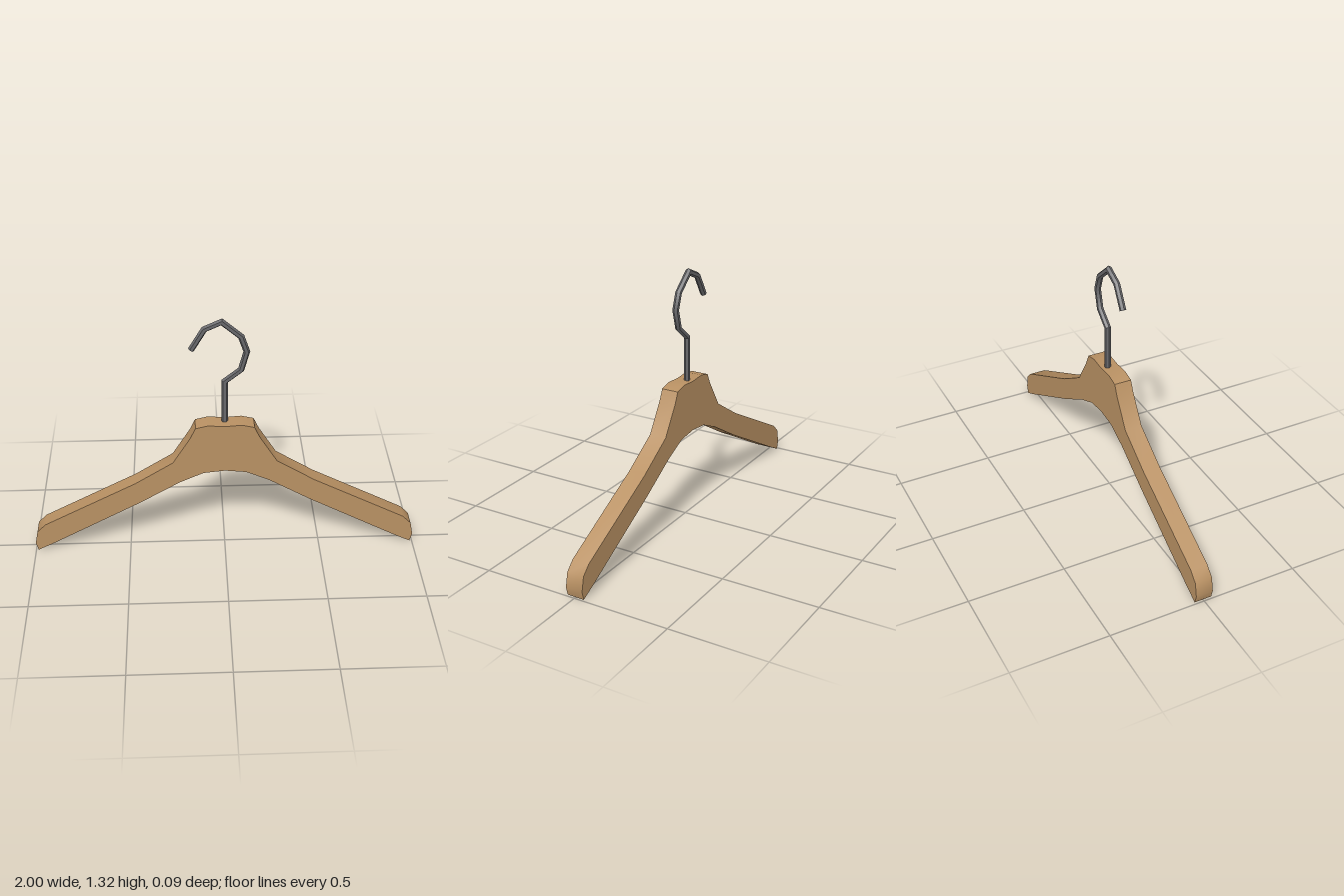
import * as THREE from 'three';
import { toCreasedNormals } from 'three/addons/utils/BufferGeometryUtils.js';

const CREASE = 0.7;

// Bar with mitred joints: one hexagonal ring per path point, closed ends
function mitredBar(path, radius, z, sides = 6) {
  const pts = path.map(([x, y]) => new THREE.Vector2(x, y));
  const pos = [], idx = [];
  pts.forEach((p, i) => {
    const a = p.clone().sub(pts[Math.max(i - 1, 0)]);
    const b = pts[Math.min(i + 1, pts.length - 1)].clone().sub(p);
    if (i === 0) a.copy(b);
    if (i === pts.length - 1) b.copy(a);
    a.normalize();
    b.normalize();
    const t = a.clone().add(b).normalize();
    const stretch = radius / t.dot(a);
    for (let k = 0; k < sides; k++) {
      const ang = (k / sides) * Math.PI * 2;
      const s = Math.cos(ang) * stretch;
      pos.push(p.x + t.y * s, p.y - t.x * s, z + Math.sin(ang) * radius);
    }
  });
  for (let i = 0; i < pts.length - 1; i++) {
    for (let k = 0; k < sides; k++) {
      const a = i * sides + k, b = i * sides + (k + 1) % sides;
      idx.push(a, a + sides, b, b, a + sides, b + sides);
    }
  }
  const last = (pts.length - 1) * sides;
  for (let k = 1; k < sides - 1; k++) {
    idx.push(0, k, k + 1, last, last + k + 1, last + k);
  }
  const geo = new THREE.BufferGeometry();
  geo.setAttribute('position', new THREE.Float32BufferAttribute(pos, 3));
  geo.setIndex(idx);
  return toCreasedNormals(geo, CREASE);
}

export function createModel() {
  const group = new THREE.Group();
  const wood = new THREE.MeshStandardMaterial({ color: 0xb99163 });
  const metal = new THREE.MeshStandardMaterial({ color: 0x68686b });

  // Wooden body: half outline from top centre round the arm to bottom centre
  const half = [
    [0, 0.748], [0.085, 0.754], [0.148, 0.739], [0.175, 0.681], [0.265, 0.536],
    [0.46, 0.413], [0.94, 0.163], [0.985, 0.118], [1, 0.045], [0.988, 0],
    [0.9, 0.044], [0.44, 0.292], [0.23, 0.416], [0.11, 0.47], [0, 0.482],
  ];
  const mirrored = half.slice(1, -1).reverse().map(([x, y]) => [-x, y]);
  const outline = [...half, ...mirrored].map(([x, y]) => new THREE.Vector2(x, y));
  const depth = 0.09;
  const bodyGeo = new THREE.ExtrudeGeometry(new THREE.Shape(outline), { depth, bevelEnabled: false });
  bodyGeo.translate(0, 0, -depth / 2);
  const body = new THREE.Mesh(toCreasedNormals(bodyGeo, CREASE), wood);
  body.name = 'body';
  group.add(body);

  // Metal hook, its stem sunk into the body
  const hookPath = [
    [0, 0.7], [0, 0.978], [0.081, 1.043], [0.108, 1.143],
    [0.08, 1.225], [-0.014, 1.306], [-0.098, 1.268], [-0.163, 1.158],
  ];
  const hook = new THREE.Mesh(mitredBar(hookPath, 0.016, -0.01), metal);
  hook.name = 'hook';
  group.add(hook);

  return group;
}
